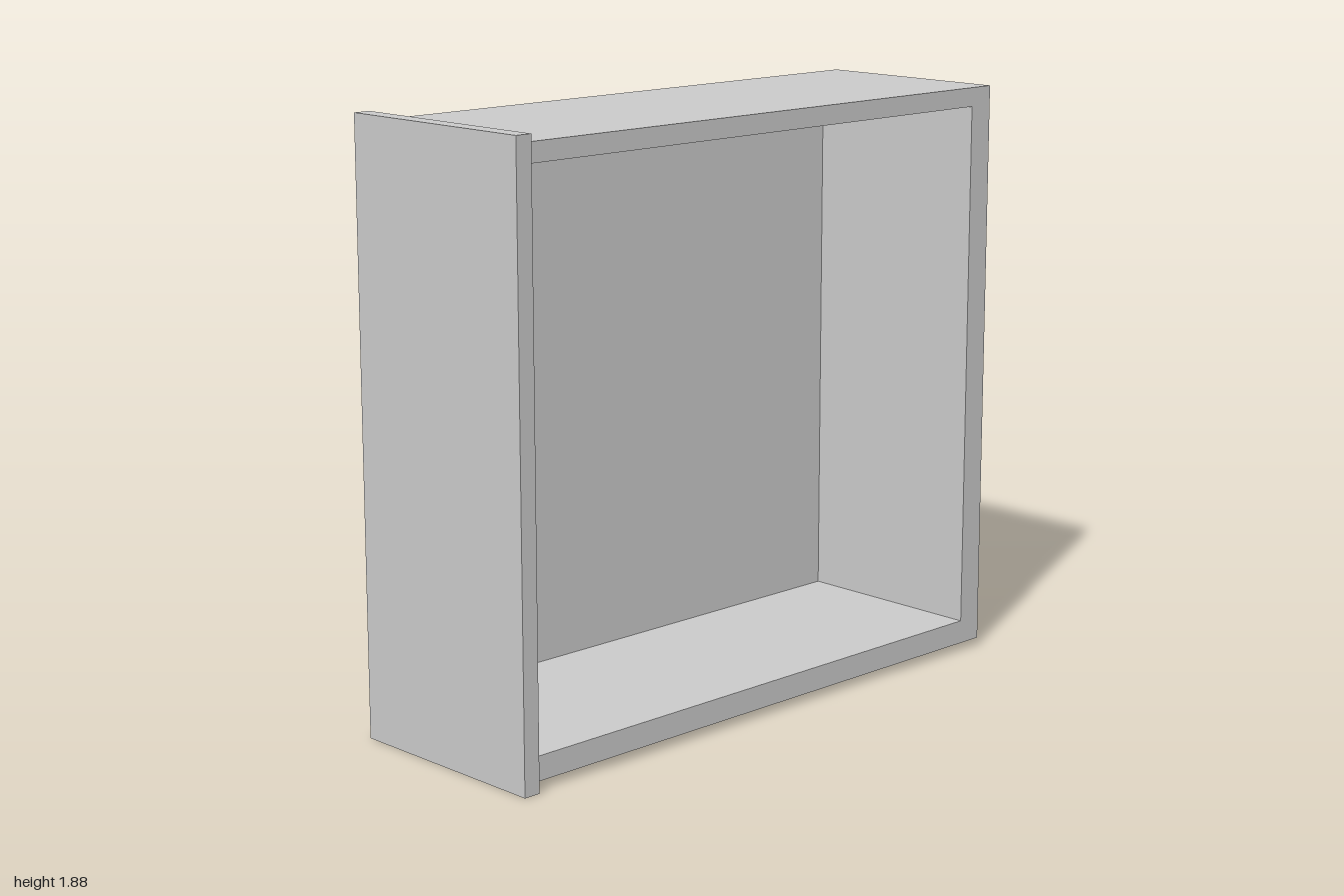
import * as THREE from 'three';

const material = new THREE.MeshStandardMaterial({ color: 0xcccccc, flatShading: true });

// Box given by its minimum and maximum corners
function slab(name, [x0, y0, z0], [x1, y1, z1]) {
  const mesh = new THREE.Mesh(new THREE.BoxGeometry(x1 - x0, y1 - y0, z1 - z0), material);
  mesh.position.set((x0 + x1) / 2, (y0 + y1) / 2, (z0 + z1) / 2);
  mesh.name = name;
  return mesh;
}

export function createModel() {
  const group = new THREE.Group();
  group.name = 'drawer';

  const left = -0.945, right = 1, bottom = 0.027, top = 1.855, half = 0.331;
  const floorZ = -0.31;

  // Wider face panel closing one end of the tray
  group.add(slab('facePanel', [-1, 0, -0.352], [left, 1.88, 0.352]));

  // Thin tray floor at the back
  group.add(slab('trayFloor', [left, bottom, -half], [right, top, floorZ]));

  // Three walls: a U shape open towards the face panel
  const wall = new THREE.Shape([
    [left, bottom], [right, bottom], [right, top], [left, top],
    [left, 1.795], [0.914, 1.795], [0.914, 0.103], [left, 0.103],
  ].map(([x, y]) => new THREE.Vector2(x, y)));
  const walls = new THREE.Mesh(
    new THREE.ExtrudeGeometry(wall, { depth: half - floorZ, bevelEnabled: false }), material);
  walls.position.z = floorZ;
  walls.name = 'trayWalls';
  group.add(walls);

  return group;
}
